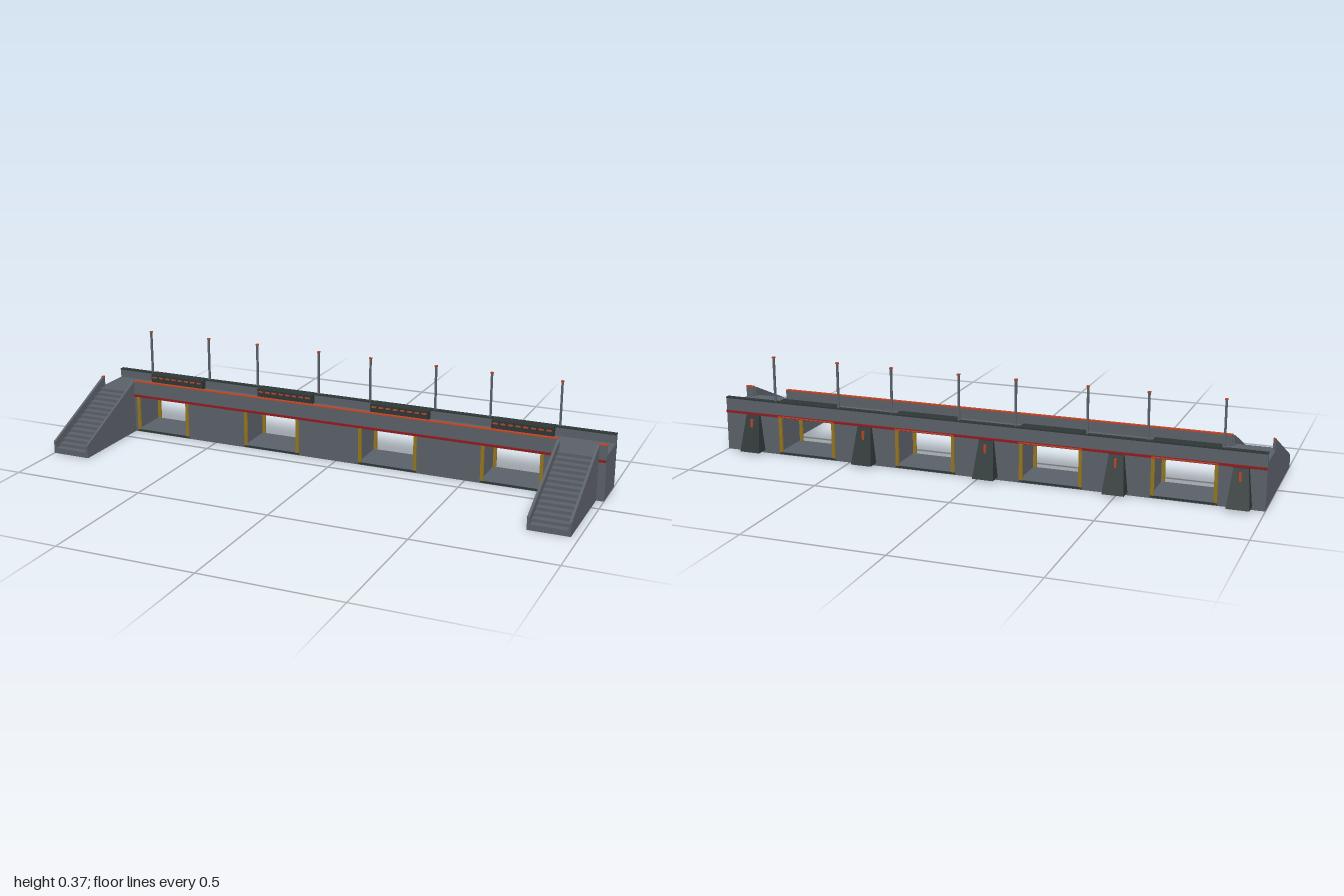
import * as THREE from 'three';

const mat = (name, color, side = THREE.FrontSide) => {
  const m = new THREE.MeshStandardMaterial({ color, side });
  m.name = name;
  return m;
};

export function createModel() {
  const stone = mat('grey stone', 0x5a6068);
  const dark = mat('dark metal', 0x2d3636);
  const orange = mat('orange trim', 0xbc4424);
  const red = mat('red stripe', 0x8f1a1e);
  const gold = mat('gold frame', 0x92741f);

  const root = new THREE.Group();
  root.name = 'rampart';

  const add = (name, geometry, material, parent = root) => {
    const mesh = new THREE.Mesh(geometry, material);
    mesh.name = name;
    parent.add(mesh);
    return mesh;
  };
  // Box given by its limits on each axis
  const box = (name, x0, x1, y0, y1, z0, z1, material, parent) => {
    const mesh = add(name, new THREE.BoxGeometry(x1 - x0, y1 - y0, z1 - z0), material, parent);
    mesh.position.set((x0 + x1) / 2, (y0 + y1) / 2, (z0 + z1) / 2);
    return mesh;
  };
  // Side profile of [z, y] points extruded along x
  const slab = (name, points, x0, x1, material, parent) => {
    const shape = new THREE.Shape(points.map(([z, y]) => new THREE.Vector2(-z, y)));
    const g = new THREE.ExtrudeGeometry(shape, { depth: x1 - x0, bevelEnabled: false });
    g.rotateY(Math.PI / 2);
    g.translate(x0, 0, 0);
    return add(name, g, material, parent);
  };

  const FRONT = -0.071, BACK = -0.225, FLOOR = 0.01, LINTEL = 0.14, DECK = 0.165, TOP = 0.2;
  const bays = [0, 1, 2, 3].map((i) => -0.728 + i * 0.466);
  const half = 0.113;

  // Foundation, piers between the bays, and deck
  box('foundation', -1, 1, 0, FLOOR, BACK, FRONT, stone);
  box('deck', -1, 1, LINTEL, DECK, BACK, FRONT, stone);
  for (let i = 0; i <= bays.length; i++) {
    const x0 = i === 0 ? -1 : bays[i - 1] + half;
    const x1 = i === bays.length ? 1 : bays[i] - half;
    box('pier', x0, x1, FLOOR, LINTEL, BACK, FRONT, stone);
  }

  // Rear parapet with its dark coping and red band
  box('rearParapet', -1, 1, DECK, 0.196, BACK, -0.211, stone);
  box('rearCoping', -1, 1, 0.196, TOP, -0.229, -0.209, dark);
  box('rearBand', -1, 1, 0.142, 0.15, -0.23, BACK, red);

  // Front parapet, interrupted where the stairs arrive
  for (const [x0, x1] of [[-1, -0.991], [-0.855, 0.828], [0.971, 1]]) {
    box('frontParapet', x0, x1, DECK, 0.202, -0.079, FRONT, stone);
    box('frontCap', x0, x1, 0.202, 0.206, -0.081, -0.068, orange);
    box('frontBand', x0, x1, 0.142, 0.15, FRONT, -0.066, red);
  }

  // Each bay: gold frames, threshold, barricade with lamps, and two masts
  for (const x of bays) {
    const bay = new THREE.Group();
    bay.name = 'bay';
    bay.position.x = x;
    root.add(bay);
    for (const s of [-1, 1]) {
      const a = s * half, b = s * (half - 0.012);
      for (const z of [FRONT, BACK]) {
        box('framePost', Math.min(a, b), Math.max(a, b), FLOOR, LINTEL, z - 0.004, z + 0.004, gold, bay);
      }
      const mast = s * 0.128;
      box('mast', mast - 0.0035, mast + 0.0035, TOP, 0.362, -0.2215, -0.2145, stone, bay);
      box('mastLamp', mast - 0.005, mast + 0.005, 0.362, 0.367, -0.223, -0.213, orange, bay);
    }
    box('threshold', -half, half, 0.002, 0.0095, FRONT, FRONT + 0.001, dark, bay);
    box('rearThreshold', -half, half, 0.002, 0.0095, BACK - 0.001, BACK, dark, bay);
    box('barricade', -half, half, DECK, 0.1995, -0.211, -0.182, dark, bay);
    box('barricadeCoping', -half, half, 0.196, 0.201, -0.228, -0.181, dark, bay);
    box('rearTrim', -half, half, 0.144, 0.148, -0.2325, -0.23, orange, bay);
    for (let i = 0; i < 8; i++) {
      const lx = -0.098 + i * 0.028;
      box('barricadeLamp', lx - 0.009, lx + 0.009, 0.187, 0.193, -0.182, -0.18, orange, bay);
    }
  }

  // Tapered buttresses along the rear, each with a slim lamp
  for (const x of [-0.917, -0.497, -0.031, 0.434, 0.885]) {
    const g = new THREE.BoxGeometry(0.078, 0.132, 0.047);
    const p = g.attributes.position;
    for (let i = 0; i < p.count; i++) {
      if (p.getY(i) > 0) {
        p.setX(i, p.getX(i) * 0.66);
        if (p.getZ(i) < 0) p.setZ(i, 0.011);
      }
    }
    const flat = g.toNonIndexed();
    flat.computeVertexNormals();
    add('buttress', flat, dark).position.set(x, 0.076, -0.2485);
    box('buttressLamp', x - 0.004, x + 0.004, 0.1, 0.13, -0.249, -0.24, orange);
  }

  // Two staircases between sloping side walls
  const END = 0.273, STEPS = 14, WALL = 0.009;
  for (const [x0, x1] of [[-1, -0.853], [0.826, 0.973]]) {
    const stair = new THREE.Group();
    stair.name = 'staircase';
    root.add(stair);
    box('stairBase', x0, x1, 0, FLOOR, FRONT, END, stone, stair);
    const wall = [[FRONT, FLOOR], [END, FLOOR], [END, 0.047], [FRONT, 0.203]];
    slab('stairWall', wall, x0, x0 + WALL, stone, stair);
    slab('stairWall', wall, x1 - WALL, x1, stone, stair);
    const steps = [[FRONT, FLOOR], [END, FLOOR]];
    const run = (END - FRONT) / STEPS, rise = (DECK - FLOOR) / STEPS;
    for (let i = 0; i < STEPS; i++) {
      const z = END - i * run, y = FLOOR + (i + 1) * rise;
      if (i > 0) steps.push([z, y - rise]);
      steps.push([z, y]);
    }
    steps.push([FRONT, DECK]);
    slab('steps', steps, x0 + WALL, x1 - WALL, stone, stair);
  }

  return root;
}
